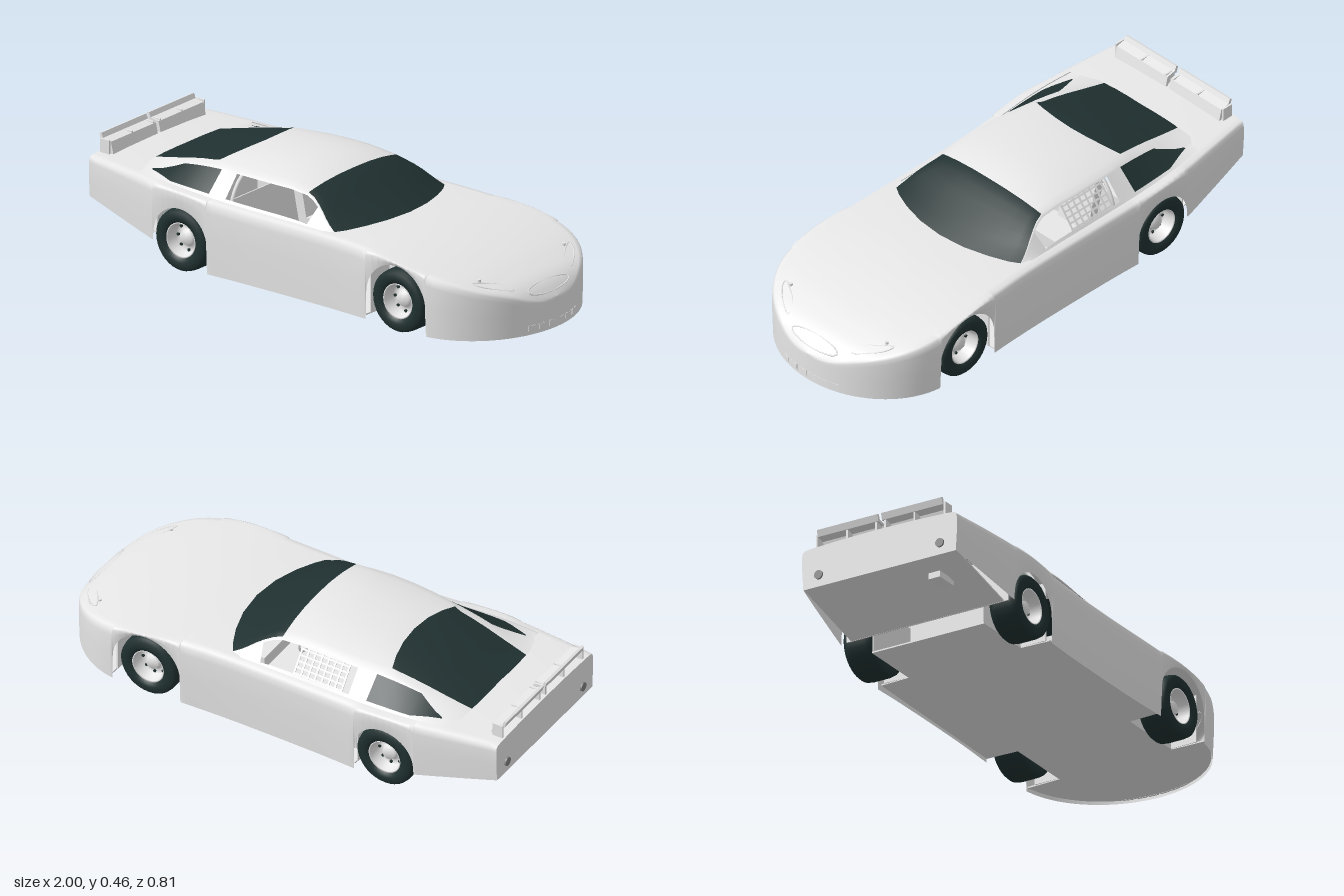
import * as THREE from 'three';

const body = new THREE.MeshStandardMaterial({ color: 0xf0f0f0, side: THREE.DoubleSide });
body.name = 'white paint';
const dark = new THREE.MeshStandardMaterial({ color: 0x203030, side: THREE.DoubleSide });
dark.name = 'dark glass and rubber';
const grey = new THREE.MeshStandardMaterial({ color: 0x808080, side: THREE.DoubleSide });
grey.name = 'mid grey trim';

// smooth interpolation through rows of [x, a, b, ...]
function table(rows) {
  const n = rows[0].length - 1;
  const it = new THREE.CubicInterpolant(rows.map(r => r[0]), rows.flatMap(r => r.slice(1)), n);
  const lo = rows[0][0], hi = rows[rows.length - 1][0];
  return x => Array.from(it.evaluate(Math.min(Math.max(x, lo), hi - 1e-6)));
}

// x -> shoulder height
const shoulder = table([[-0.99, 0.345], [-0.8, 0.34], [-0.6, 0.33], [-0.3, 0.312], [0, 0.308], [0.3, 0.305],
  [0.5, 0.293], [0.7, 0.264], [0.85, 0.227], [0.95, 0.184], [1, 0.135]]);
// x -> half width behind the rounded nose
const sideWidth = table([[-0.99, 0.345], [-0.8, 0.372], [-0.6, 0.395], [-0.2, 0.388], [0.2, 0.388], [0.5, 0.4], [0.66, 0.405]]);
// x -> roof crown height, roof edge height, roof edge half width
const roof = table([[-0.8, 0.346, 0.343, 0.22], [-0.7, 0.377, 0.363, 0.23], [-0.55, 0.42, 0.395, 0.243],
  [-0.41, 0.446, 0.413, 0.254], [-0.3, 0.454, 0.417, 0.266], [-0.15, 0.457, 0.419, 0.269],
  [0.02, 0.437, 0.409, 0.262], [0.16, 0.378, 0.366, 0.297], [0.29, 0.319, 0.308, 0.332]]);

const arches = [{ x: -0.515, r: 0.13 }, { x: 0.537, r: 0.147 }];
const wheelY = 0.126;

const noseWidth = x => 0.405 * Math.sqrt(Math.max(1 - ((x - 0.65) / 0.35) ** 2, 1e-10));
const halfWidth = x => (x > 0.65 ? noseWidth(x) : sideWidth(x)[0]);
function lowerEdge(x) {
  for (const a of arches) {
    const d = Math.abs(x - a.x);
    if (d <= a.r + 1e-6) return wheelY + Math.sqrt(Math.max(a.r * a.r - d * d, 0));
  }
  return x < -0.6 ? 0.1 + (-0.645 - x) * 0.24 : 0.023;
}

function add(parent, name, geo, mat, x = 0, y = 0, z = 0) {
  const m = new THREE.Mesh(geo, mat);
  m.name = name;
  m.position.set(x, y, z);
  parent.add(m);
  return m;
}
const box = (x, y, z) => new THREE.BoxGeometry(x, y, z);
const vec = p => new THREE.Vector3(...p);
const tube = (pts, r, closed = false) =>
  new THREE.TubeGeometry(new THREE.CatmullRomCurve3(pts.map(vec), closed), 40, r, 6, closed);

// skin between cross-sections given from the +z sill to the centre and mirrored;
// pick(i, j) gives 0 for paint, 1 for glass, -1 for an opening
function loft(halves, pick) {
  const pos = [], lists = [[], []], h = halves[0].length, n = 2 * h - 1;
  halves.forEach(s => {
    s.forEach(p => pos.push(...p));
    s.slice(0, -1).reverse().forEach(p => pos.push(p[0], p[1], -p[2]));
  });
  for (let i = 0; i < halves.length - 1; i++) for (let j = 0; j < n - 1; j++) {
    const k = pick(i, j < h - 1 ? j : n - 2 - j);
    const a = i * n + j, b = a + n;
    if (k >= 0) lists[k].push(a, b, a + 1, b, b + 1, a + 1);
  }
  const g = new THREE.BufferGeometry();
  g.setAttribute('position', new THREE.Float32BufferAttribute(pos, 3));
  g.setIndex(lists.flat());
  g.addGroup(0, lists[0].length, 0);
  g.addGroup(lists[0].length, lists[1].length, 1);
  g.computeVertexNormals();
  return g;
}

// lower body cross-section
const across = [0.985, 1, 1, 0.99, 0.965, 0.9, 0.5, 0];
const upward = [0, 0.5, 0.85, 0.95, 0.99];
function bodySection(x) {
  const w = halfWidth(x), top = shoulder(x)[0], low = lowerEdge(x);
  return across.map((f, j) => [x, j < 5 ? low + (top - low) * upward[j] : top + 0.01 * (1 - f * f), f * w]);
}

function makeBody(g) {
  let xs = [];
  for (let x = -0.99; x < 0.65; x += 0.03) xs.push(x);
  for (const a of arches) {
    for (let i = 0; i <= 20; i++) xs.push(a.x - a.r * Math.cos(Math.PI * i / 20));
    xs.push(a.x - a.r - 0.002, a.x + a.r + 0.002);
  }
  for (let i = 0; i <= 24; i++) xs.push(0.65 + 0.35 * Math.sin(Math.PI / 2 * i / 24));
  xs.sort((p, q) => p - q);
  xs = xs.filter((x, i) => i === 0 || x - xs[i - 1] > 1e-5);
  const cabin = i => xs[i] > -0.77 && xs[i + 1] < 0.17;
  add(g, 'bodyShell', loft(xs.map(bodySection), (i, j) => (j >= 5 && cabin(i) ? -1 : 0)), [body, dark]);

  // flat tail panel
  const s = bodySection(-0.99);
  const tail = new THREE.Shape([...s.map(p => [p[2], p[1]]), ...s.slice(0, -1).reverse().map(p => [-p[2], p[1]])]
    .map(p => new THREE.Vector2(...p)));
  add(g, 'tailPanel', new THREE.ShapeGeometry(tail), body, -0.99).rotation.y = -Math.PI / 2;
}

// roof, pillars and glass in one skin with open door windows
function makeCabin(g) {
  const xs = [-0.8, -0.76, -0.72, -0.68, -0.64, -0.6, -0.54, -0.48, -0.41, -0.33, -0.24, -0.15, -0.07, 0.02, 0.07, 0.12, 0.17, 0.21, 0.25, 0.29];
  const sections = xs.map(x => {
    const [crown, edge, r] = roof(x), b = 0.9 * halfWidth(x), base = shoulder(x)[0] - 0.002;
    const bend = 0.09 * Math.min(Math.max((x + 0.02) / 0.25, 0), 1);
    // quarter window narrows to a point at the rear
    const open = Math.min(Math.max((x + 0.72) / 0.12, 0.06), 1);
    const pts = [0, 0.38 - 0.26 * open, 0.38 + 0.52 * open, 1].map(t => [base + (edge - base) * t, b + (r - b) * t]);
    for (const f of [0.88, 0.65, 0.35, 0]) pts.push([edge + (crown - edge) * (1 - f ** 2.4), r * f]);
    return pts.map(([y, z], j) => {
      const bow = x === -0.41 && j >= 4 ? 0.04 : 0; // curved front edge of the rear glass
      return [x - bend * (z / 0.32) ** 2 - bow * (z / 0.22) ** 2, y, z];
    });
  });
  add(g, 'cabinShell', loft(sections, (i, j) => {
    const x = (xs[i] + xs[i + 1]) / 2;
    if (j >= 3 && x > 0.02) return 1;
    if (j >= 4 && x > -0.79 && x < -0.41) return 1;
    if (j === 1 && x > -0.72 && x < -0.41) return 1;
    return j === 1 && x > -0.33 && x < 0.12 ? -1 : 0;
  }), [body, dark]);
}

function makeUnderside(g) {
  const half = [[-0.645, 0.25], [-0.385, 0.25], [-0.38, 0.375], [0.385, 0.385], [0.39, 0.25], [0.685, 0.25], [0.69, 0.395]];
  for (let i = 1; i <= 16; i++) {
    const x = 0.65 + 0.345 * Math.sin(0.12 + (Math.PI / 2 - 0.12) * i / 16);
    half.push([x, noseWidth(x) * 0.97]);
  }
  const plan = [...half, ...half.map(p => [p[0], -p[1]]).reverse()].map(p => new THREE.Vector2(...p));
  const floor = new THREE.ExtrudeGeometry(new THREE.Shape(plan), { depth: 0.006, bevelEnabled: false });
  add(g, 'floorPan', floor.rotateX(Math.PI / 2), body, 0, 0.042, 0);
  add(g, 'rearFloor', box(0.345, 0.005, 0.68), body, -0.817, 0.148, 0).rotation.z = -0.235;
  add(g, 'exhaustBox', box(0.1, 0.025, 0.05), body, -0.87, 0.142, 0.2);
  // wheel wells, with bulkheads given as x, bottom and top
  for (const a of arches) for (const s of [-1, 1])
    add(g, 'wheelWellWall', box(2 * a.r, a.r + 0.07, 0.005), body, a.x, 0.04 + (a.r + 0.07) / 2, s * 0.245);
  for (const [x, low, high] of [[-0.648, 0.105, 0.29], [-0.382, 0.04, 0.28], [0.387, 0.04, 0.27], [0.687, 0.04, 0.235]])
    add(g, 'bulkhead', box(0.005, high - low, 0.72), body, x, (low + high) / 2, 0);
}

function makeWheel(x, side) {
  const w = new THREE.Group();
  w.name = 'wheel';
  const lathe = pts => new THREE.LatheGeometry(pts.map(p => new THREE.Vector2(...p)), 36);
  add(w, 'tyre', lathe([[0.07, -0.055], [0.088, -0.065], [0.112, -0.063], [0.122, -0.053], [0.125, -0.035], [0.125, 0.035],
    [0.122, 0.053], [0.112, 0.063], [0.088, 0.065], [0.07, 0.055], [0.068, 0.045]]), dark);
  add(w, 'rim', lathe([[0.064, -0.055], [0.07, -0.058], [0.071, -0.05], [0.071, 0.05], [0.07, 0.057], [0.065, 0.054], [0.06, 0.01],
    [0.045, 0.002], [0.03, 0.014], [0.026, 0.03], [0, 0.03]]), body);
  for (let i = 0; i < 8; i++) {
    const a = i * Math.PI / 4;
    add(w, 'rimSlot', new THREE.CylinderGeometry(0.006, 0.006, 0.006, 10), dark, 0.052 * Math.cos(a), 0.007, 0.052 * Math.sin(a));
  }
  w.position.set(x, wheelY, side * 0.325);
  w.rotation.x = side * Math.PI / 2;
  return w;
}

function makeDetails(g) {
  // rear spoiler with brackets
  const profile = new THREE.Shape([[-0.925, 0.345], [-0.937, 0.395], [-0.975, 0.402], [-0.983, 0.421], [-0.993, 0.418], [-0.985, 0.392],
    [-0.948, 0.386], [-0.937, 0.345]].map(p => new THREE.Vector2(...p)));
  for (const s of [-1, 1]) {
    const blade = new THREE.ExtrudeGeometry(profile, { depth: 0.27, bevelEnabled: false });
    add(g, 'spoilerBlade', blade, body, 0, 0, s * 0.143 - 0.135);
    for (const z of [0.02, 0.15, 0.285])
      add(g, 'spoilerBracket', box(0.045, 0.06, 0.008), body, -0.96, 0.372, s * z);
    add(g, 'tailLamp', new THREE.CylinderGeometry(0.018, 0.018, 0.008, 20), grey, -0.993, 0.23, s * 0.27).rotation.z = Math.PI / 2;
    // headlamp outline and bonnet pin
    const lamp = [[0.93, 0.17], [0.885, 0.19], [0.825, 0.29], [0.865, 0.27]];
    add(g, 'headlampRim', tube(lamp.map(([x, z]) => [x, shoulder(x)[0] + 0.003, s * z]), 0.003, true), body);
    add(g, 'bonnetPin', new THREE.CylinderGeometry(0.007, 0.007, 0.012, 10), body, 0.83, shoulder(0.83)[0] + 0.007, s * 0.255);
  }
  // grille rim
  const oval = [];
  for (let i = 0; i < 16; i++) {
    const a = i * Math.PI / 8, x = 0.96 + 0.02 * Math.cos(a);
    oval.push([x, shoulder(x)[0] + 0.007, 0.12 * Math.sin(a)]);
  }
  add(g, 'grilleRim', tube(oval, 0.003, true), body);
  // lower air intakes
  for (let i = 0; i < 6; i++) {
    const z = (i - 2.5) * 0.05, x = 0.65 + 0.35 * Math.sqrt(1 - (z / 0.405) ** 2), a = Math.atan2(z, (x - 0.65) * 1.3);
    add(g, 'intakeFrame', box(0.008, 0.026, 0.042), body, x - 0.004, 0.048, z).rotation.y = -a;
    add(g, 'intakePanel', box(0.008, 0.02, 0.036), body, x - 0.003, 0.048, z).rotation.y = -a;
  }
}

function makeInterior(g) {
  add(g, 'seatBase', box(0.15, 0.05, 0.16), body, -0.22, 0.12, -0.15);
  add(g, 'seatBack', box(0.04, 0.25, 0.16), body, -0.31, 0.24, -0.15).rotation.z = 0.2;
  add(g, 'dashboard', box(0.06, 0.05, 0.6), body, 0.1, 0.28, 0);
  add(g, 'steeringWheel', new THREE.TorusGeometry(0.045, 0.005, 6, 24), body, -0.02, 0.33, -0.15).rotation.y = Math.PI / 2;
  // roll hoop
  add(g, 'rollHoop', tube([[-0.34, 0.05, 0.3], [-0.34, 0.3, 0.29], [-0.34, 0.39, 0.22], [-0.34, 0.42, 0],
    [-0.34, 0.39, -0.22], [-0.34, 0.3, -0.29], [-0.34, 0.05, -0.3]], 0.008), body);
  // window net on the driver's side
  const net = new THREE.Group();
  net.name = 'windowNet';
  for (let i = 0; i < 8; i++) add(net, 'netStrap', box(0.008, 0.11, 0.003), body, (i - 3.5) * 0.03);
  for (let i = 0; i < 5; i++) add(net, 'netStrap', box(0.22, 0.007, 0.003), body, 0, (i - 2) * 0.024);
  net.position.set(-0.19, 0.36, -0.305);
  net.rotation.x = 0.65;
  g.add(net);
}

export function createModel() {
  const g = new THREE.Group();
  g.name = 'stockCar';
  makeBody(g);
  makeCabin(g);
  makeUnderside(g);
  makeDetails(g);
  makeInterior(g);
  for (const a of arches) for (const s of [-1, 1]) g.add(makeWheel(a.x, s));
  return g;
}
